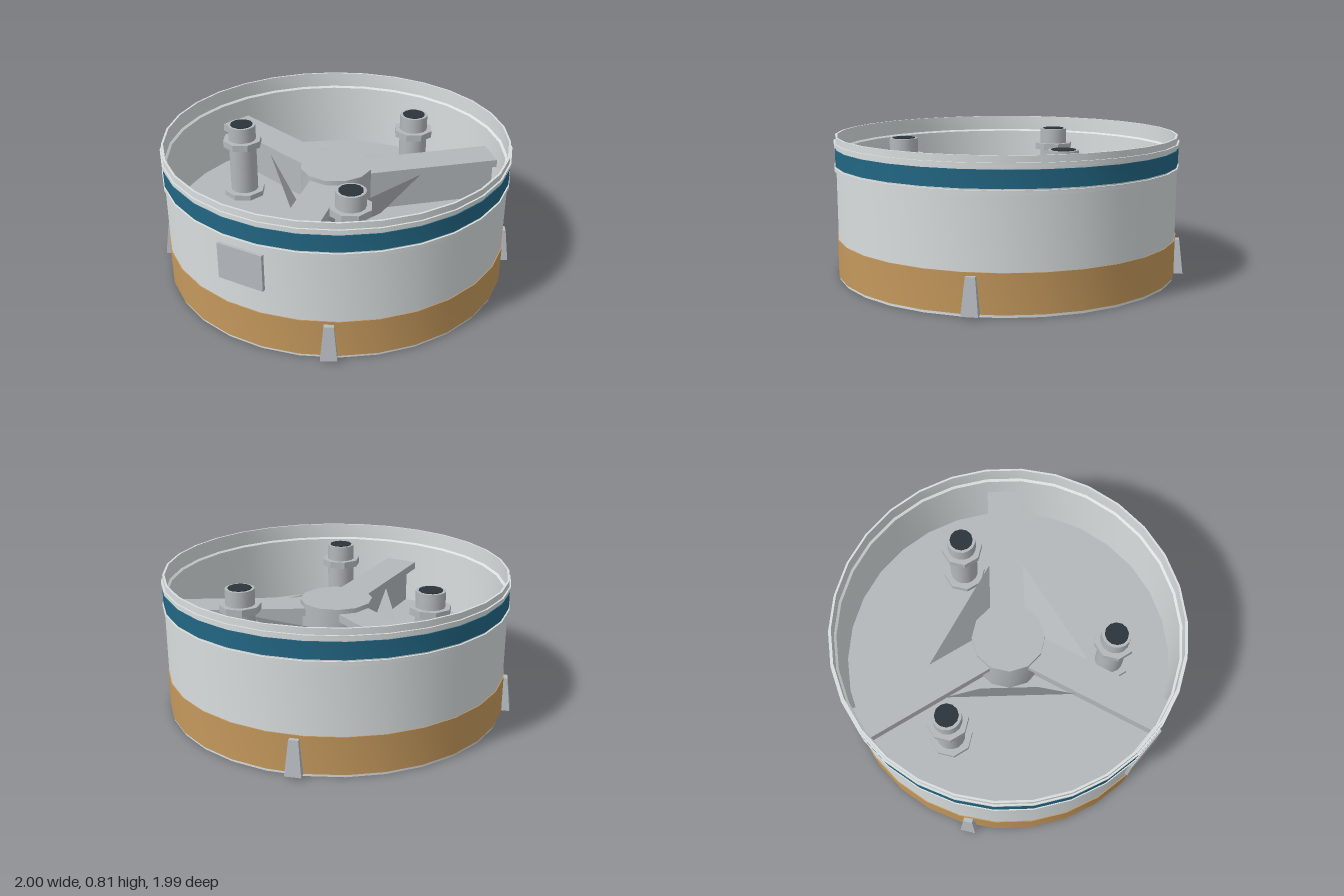
import * as THREE from 'three';
import { toCreasedNormals } from 'three/addons/utils/BufferGeometryUtils.js';

const mat = (name, color, side = THREE.FrontSide) => {
  const m = new THREE.MeshStandardMaterial({ color, side });
  m.name = name;
  return m;
};

export function createModel() {
  const model = new THREE.Group();
  model.name = 'roundHousing';
  const shellGrey = mat('shellGrey', 0xd8dddd);
  const innerGrey = mat('innerGrey', 0xb4b8bb, THREE.DoubleSide);
  const clipGrey = mat('clipGrey', 0xb6babf);
  const gold = mat('gold', 0xc4985c);
  const blue = mat('blue', 0x226683);
  const dark = mat('dark', 0x2b343c);

  const add = (parent, name, geo, material, x = 0, y = 0, z = 0) => {
    const mesh = new THREE.Mesh(geo, material);
    mesh.name = name;
    mesh.position.set(x, y, z);
    parent.add(mesh);
    return mesh;
  };
  // Revolved closed profile with a corner on the x axis
  const ring = (pts, n = 30) => toCreasedNormals(
    new THREE.LatheGeometry([...pts, pts[0]].map(p => new THREE.Vector2(...p)), n).rotateY(Math.PI / 2), 0.5);
  const band = (r0, r1, y0, y1, n) => ring([[r0, y0], [r1, y0], [r1, y1], [r0, y1]], n);
  const cyl = (r, h, n) => toCreasedNormals(new THREE.CylinderGeometry(r, r, h, n), 0.6);

  // Hollow outer shell with inner ledges at top and bottom
  add(model, 'shell', ring([
    [0.98, 0], [0.99, 0], [0.99, 0.81], [0.978, 0.81], [0.978, 0.72],
    [0.965, 0.71], [0.965, 0.13], [0.98, 0.11]]), shellGrey);
  add(model, 'lowerRidge', band(0.98, 1, 0.62, 0.64), shellGrey);
  add(model, 'upperRidge', band(0.98, 1, 0.755, 0.775), shellGrey);
  add(model, 'blueBand', band(0.985, 0.995, 0.648, 0.742), blue);
  add(model, 'goldBand', band(0.985, 0.995, 0.015, 0.23), gold);

  // Floor over a gold base plate with three round openings
  add(model, 'floor', cyl(0.97, 0.03, 30).rotateY(Math.PI / 2), innerGrey, 0, 0.305, 0);
  const plate = new THREE.Shape();
  plate.absarc(0, 0, 0.967, 0, Math.PI * 2);
  const spokes = [0, 1, 2].map(i => i * Math.PI * 2 / 3);
  for (const a of spokes) {
    const hole = new THREE.Path();
    hole.absarc(-0.55 * Math.sin(a), 0.55 * Math.cos(a), 0.3, 0, Math.PI * 2, true);
    plate.holes.push(hole);
  }
  const plateGeo = new THREE.ExtrudeGeometry(plate, { depth: 0.02, bevelEnabled: false, curveSegments: 15 });
  add(model, 'basePlate', plateGeo.rotateX(-Math.PI / 2), gold, 0, 0.27, 0);

  // Hub with three T-section arms, sloped gussets and collars below
  add(model, 'hub', cyl(0.21, 0.3, 12), innerGrey, 0, 0.47, 0);
  const gusset = new THREE.BufferGeometry();
  gusset.setAttribute('position', new THREE.Float32BufferAttribute(
    [-0.17, 0.32, 0.21, 0.17, 0.32, 0.21, 0.37, 0.55, 0.33, -0.37, 0.55, 0.33], 3));
  gusset.setIndex([0, 1, 2, 0, 2, 3]);
  gusset.computeVertexNormals();
  for (const a of spokes) {
    const arm = new THREE.Group();
    arm.name = 'arm';
    arm.rotation.y = a;
    model.add(arm);
    add(arm, 'armPlate', new THREE.BoxGeometry(0.2, 0.045, 0.81), innerGrey, 0, 0.57, -0.565);
    add(arm, 'armWeb', new THREE.BoxGeometry(0.08, 0.24, 0.8), innerGrey, 0, 0.43, -0.56);
    add(arm, 'gusset', gusset, innerGrey);
    add(arm, 'openingCollar', band(0.285, 0.315, 0.262, 0.291, 24), gold, 0, 0, -0.55);
  }

  // Three posts with octagonal flanges and dark bores
  for (const [x, z] of [[-0.26, -0.55], [0.6, 0.05], [-0.35, 0.49]]) {
    const post = new THREE.Group();
    post.name = 'post';
    post.position.set(x, 0, z);
    model.add(post);
    add(post, 'postTube', cyl(0.083, 0.465, 16), innerGrey, 0, 0.543, 0);
    add(post, 'postBase', cyl(0.125, 0.035, 8).rotateY(Math.PI / 8), innerGrey, 0, 0.335, 0);
    add(post, 'postFlange', cyl(0.118, 0.04, 8).rotateY(Math.PI / 8), innerGrey, 0, 0.665, 0);
    add(post, 'postBore', cyl(0.067, 0.006, 12), dark, 0, 0.776, 0);
  }

  // Four tapered clips around the gold band
  const clip = new THREE.BoxGeometry(1, 1, 1);
  const p = clip.attributes.position;
  for (let i = 0; i < p.count; i++) {
    const top = p.getY(i) > 0, outer = p.getZ(i) > 0;
    p.setXYZ(i, Math.sign(p.getX(i)) * (top ? 0.026 : 0.045), top ? 0.212 : 0.015,
      outer ? (top ? 1.015 : 1.04) : 0.975);
  }
  const clipGeo = clip.toNonIndexed();
  clipGeo.computeVertexNormals();
  for (let i = 0; i < 4; i++)
    add(model, 'clip', clipGeo, clipGrey).rotation.y = Math.PI / 4 + i * Math.PI / 2;

  // Flat panel on the side wall
  const a = Math.PI / 10;
  add(model, 'sidePanel', new THREE.BoxGeometry(0.02, 0.21, 0.27), clipGrey,
    -0.991 * Math.cos(a), 0.485, 0.991 * Math.sin(a)).rotation.y = a;

  return model;
}
